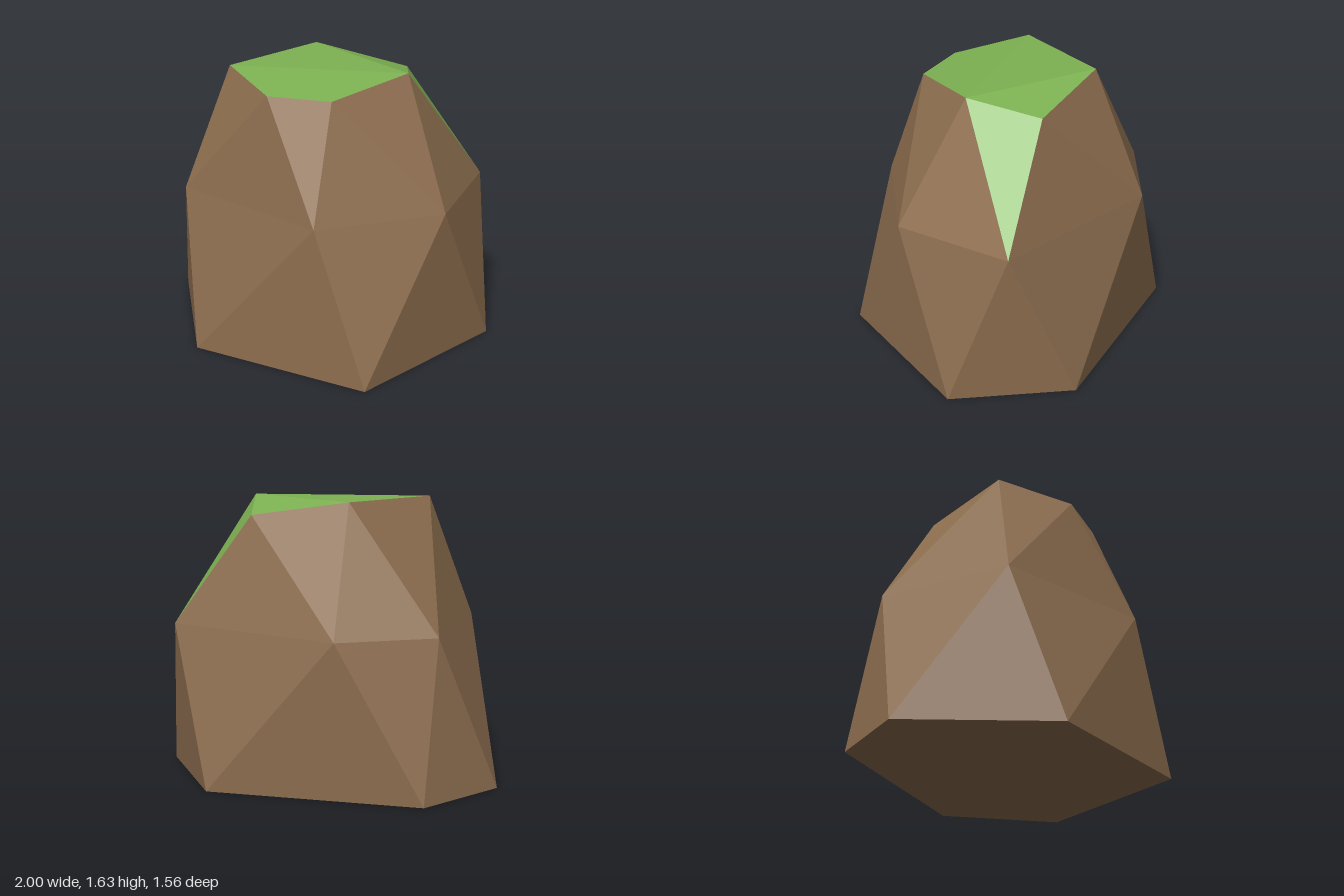
import * as THREE from 'three';

// Three six-point rings, each running clockwise as seen from above.
const base = [[0.5, 0, 0.78], [-0.59, 0, 0.58], [-1, 0, -0.25], [-0.67, 0, -0.71], [0.58, 0, -0.745], [1, 0, -0.15]];
const waist = [[0.18, 0.905, 0.71], [-0.74, 0.905, 0.31], [-0.7, 0.905, -0.5], [-0.18, 0.905, -0.78], [0.86, 0.905, -0.46], [0.81, 0.905, 0.26]];
const crown = [[0.2, 1.56, 0.45], [-0.17, 1.56, 0.46], [-0.51, 1.62, 0.14], [-0.18, 1.63, -0.46], [0.4, 1.54, -0.42], [0.51, 1.62, -0.01]];

function facetedMesh(name, triangles, material) {
  const geometry = new THREE.BufferGeometry();
  geometry.setAttribute('position', new THREE.Float32BufferAttribute(triangles.flat(2), 3));
  geometry.computeVertexNormals();
  const mesh = new THREE.Mesh(geometry, material);
  mesh.name = name;
  return mesh;
}

export function createModel() {
  const earth = new THREE.MeshStandardMaterial({ name: 'earthBrown', color: 0x8f6f50 });
  const grass = new THREE.MeshStandardMaterial({ name: 'grassGreen', color: 0x7db252 });
  earth.flatShading = grass.flatShading = true;

  const rock = [];
  const turf = [];
  for (let i = 0; i < 6; i++) {
    const j = (i + 1) % 6;
    // Lower and upper bands of alternating triangles
    rock.push([base[j], base[i], waist[i]], [waist[i], waist[j], base[j]]);
    rock.push([waist[i], crown[j], waist[j]]);
    // One upper facet is a tongue of grass spilling over the edge
    (i === 4 ? turf : rock).push([waist[i], crown[i], crown[j]]);
  }
  for (let i = 0; i < 4; i++) {
    // Underside and grassy top as fans
    rock.push([base[0], base[i + 1], base[i + 2]]);
    turf.push([crown[5], crown[i + 1], crown[i]]);
  }

  const group = new THREE.Group();
  group.name = 'grassyRock';
  group.add(facetedMesh('rockBody', rock, earth), facetedMesh('grassTop', turf, grass));
  return group;
}
